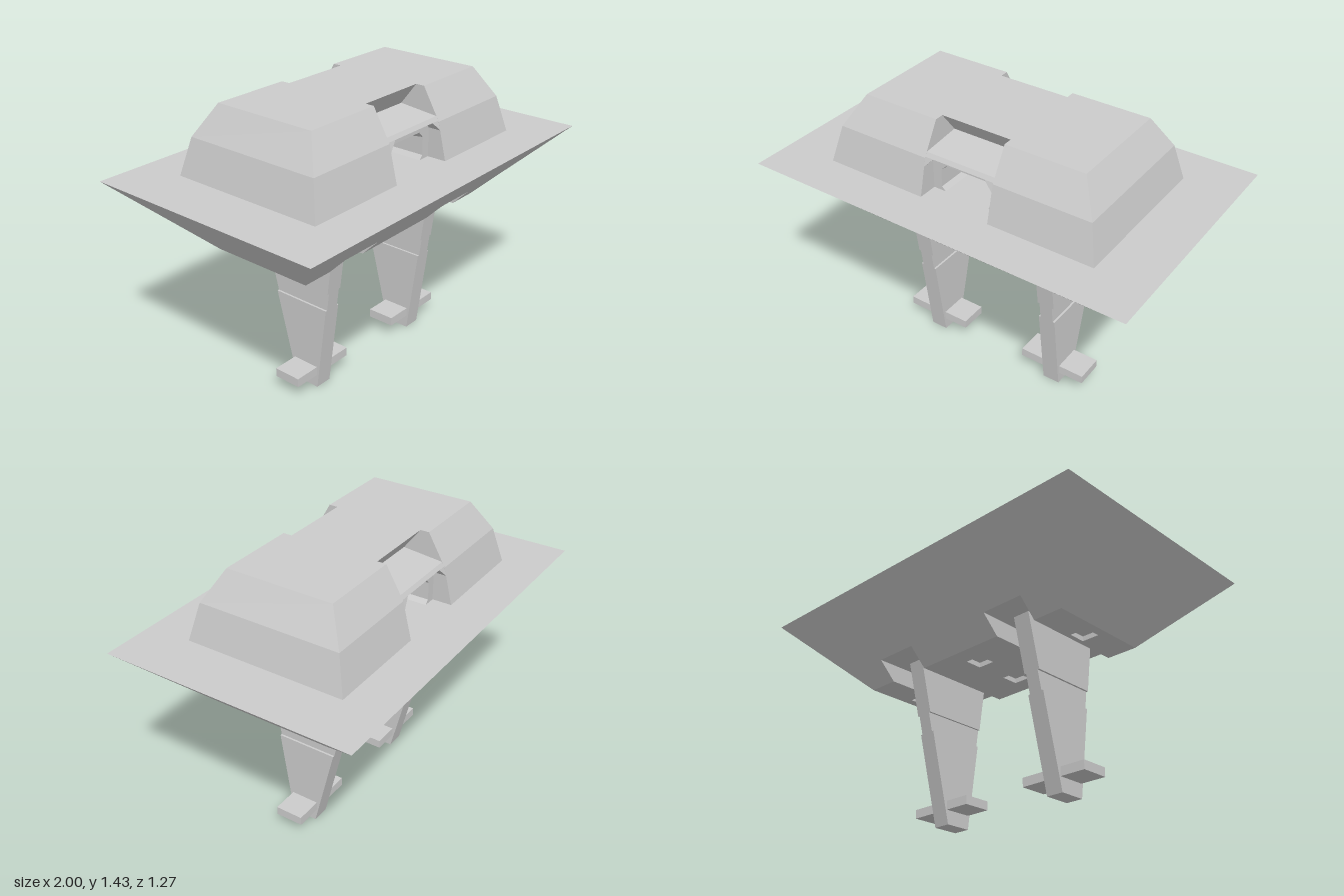
import * as THREE from 'three';

const grey = () => new THREE.MeshStandardMaterial({ color: 0xcccccc, flatShading: true });

// Solid made of stacked rectangles, each level is [y, x0, x1, z0, z1]
function stack(levels) {
  const pos = [];
  const rings = levels.map(([y, x0, x1, z0, z1]) => [[x0, y, z1], [x1, y, z1], [x1, y, z0], [x0, y, z0]]);
  const quad = (a, b, c, d) => pos.push(...a, ...b, ...c, ...a, ...c, ...d);
  for (let i = 0; i < rings.length - 1; i++) {
    for (let k = 0; k < 4; k++) {
      const n = (k + 1) % 4;
      quad(rings[i][k], rings[i][n], rings[i + 1][n], rings[i + 1][k]);
    }
  }
  const bottom = rings[0], top = rings[rings.length - 1];
  quad(bottom[3], bottom[2], bottom[1], bottom[0]);
  quad(top[0], top[1], top[2], top[3]);
  const g = new THREE.BufferGeometry();
  g.setAttribute('position', new THREE.Float32BufferAttribute(pos, 3));
  g.computeVertexNormals();
  return g;
}

const polygon = (pts) => new THREE.Shape(pts.map(([x, y]) => new THREE.Vector2(x, y)));
const extrude = (shape, depth, steps = 1) =>
  new THREE.ExtrudeGeometry(shape, { depth, steps, bevelEnabled: false });
const rect = (x0, x1, y0, y1) => [[x0, y0], [x1, y0], [x1, y1], [x0, y1]];

// Move every vertex by a rule
function reshape(g, rule) {
  const p = g.attributes.position, v = new THREE.Vector3();
  for (let i = 0; i < p.count; i++) {
    rule(v.fromBufferAttribute(p, i));
    p.setXYZ(i, v.x, v.y, v.z);
  }
  g.computeVertexNormals();
  return g;
}

export function createModel() {
  const model = new THREE.Group();
  model.name = 'walkerPlatform';
  const add = (name, g, parent = model) => {
    const m = new THREE.Mesh(g, grey());
    m.name = name;
    parent.add(m);
    return m;
  };

  // Hull: flared upper tray, above three keel blocks separated by leg slots
  const hull = new THREE.Group();
  hull.name = 'hull';
  model.add(hull);
  add('hullTray', stack([[0.82, -0.73, 0.73, -0.36, 0.36], [1.09, -1, 1, -0.635, 0.635]]), hull);

  const h = 0.045; // half size of the square sockets underneath
  const keel = (x0, x1, sockets) => {
    const shape = polygon(rect(x0, x1, -0.27, 0.27));
    for (const [x, z] of sockets) {
      shape.holes.push(new THREE.Path(rect(x - h, x + h, z - h, z + h).map((p) => new THREE.Vector2(...p))));
      add('socketPlate', stack([
        [0.755, x - h, x + h, -z - h, -z + h],
        [0.82, x - h, x + h, -z - h, -z + h]]), hull);
    }
    const g = extrude(shape, 0.09).rotateX(-Math.PI / 2).translate(0, 0.73, 0);
    add('keelBlock', reshape(g, (v) => {
      if (v.y < 0.8) return;
      if (Math.abs(v.z) > 0.26) v.z = Math.sign(v.z) * 0.36;
      if (Math.abs(v.x) > 0.63) v.x = Math.sign(v.x) * 0.73;
    }), hull);
  };
  keel(-0.25, 0.25, [[0, 0.13], [0, -0.13]]);
  keel(0.48, 0.64, [[0.55, 0]]);
  keel(-0.64, -0.48, [[-0.55, 0]]);

  // Cabin: two sloped ends
  const cabin = new THREE.Group();
  cabin.name = 'cabin';
  model.add(cabin);
  const slope = [[1.09, 0.725, 0.41], [1.275, 0.68, 0.365], [1.43, 0.59, 0.275]];
  add('cabinLeft', stack(slope.map(([y, x, z]) => [y, 0.185, x, -z, z])), cabin);
  add('cabinRight', stack(slope.map(([y, x, z]) => [y, -x, -0.185, -z, z])), cabin);

  // Roof bridge with an undercut window recess at front and back
  const side = [[0.362, 1.28], [0.35, 1.3], [0.146, 1.32], [0.23, 1.43]];
  const bridge = [...side, ...side.map(([z, y]) => [-z, y]).reverse()];
  add('windowBridge', extrude(polygon(bridge), 0.37)
    .translate(0, 0, -0.185).rotateY(Math.PI / 2), cabin);

  // Doorway: recessed frame around a passage whose ceiling dips in the middle
  const jamb = [[0.12, 1.09], [0.14, 1.11], [0.14, 1.2], [0.11, 1.23]];
  const frame = [[0.185, 1.28], [-0.185, 1.28], [-0.185, 1.09],
    ...jamb.map(([x, y]) => [-x, y]), ...[...jamb].reverse(), [0.185, 1.09]];
  add('doorFrame', reshape(
    extrude(polygon(frame), 0.62, 2).translate(0, 0, -0.31),
    (v) => {
      if (Math.abs(v.z) < 0.01 && v.y > 1.15 && v.y < 1.25) v.y -= 0.04;
    }), cabin);

  // Angled corner pieces over each doorway, flush with the cabin slope
  for (const s of [-1, 1]) {
    const corner = polygon([[s * 0.185, 1.235], [s * 0.185, 1.28], [s * 0.14, 1.28]]);
    add('doorCorner', reshape(extrude(corner, 0.7).translate(0, 0, -0.35), (v) => {
      v.z = Math.sign(v.z) * (v.y > 1.26 ? 0.362 : 0.375);
    }), cabin);
  }

  // Legs: tapered blades with a thinner band, and a flat cross bar as a foot
  for (const s of [-1, 1]) {
    const leg = new THREE.Group();
    leg.name = s > 0 ? 'leftLeg' : 'rightLeg';
    leg.position.x = s * 0.363;
    model.add(leg);
    const blade = (name, y0, y1, w) => add(name,
      stack([y0, y1].map((y) => [y, -w, w, -0.02 - 0.253 * y, 0.115 + 0.137 * y])), leg);
    blade('lowerLeg', 0, 0.455, 0.045);
    blade('legBand', 0.455, 0.55, 0.035);
    blade('upperLeg', 0.55, 0.82, 0.045);
    add('foot', new THREE.BoxGeometry(0.36, 0.045, 0.145).translate(0, 0.094, 0.042), leg);
  }
  return model;
}
